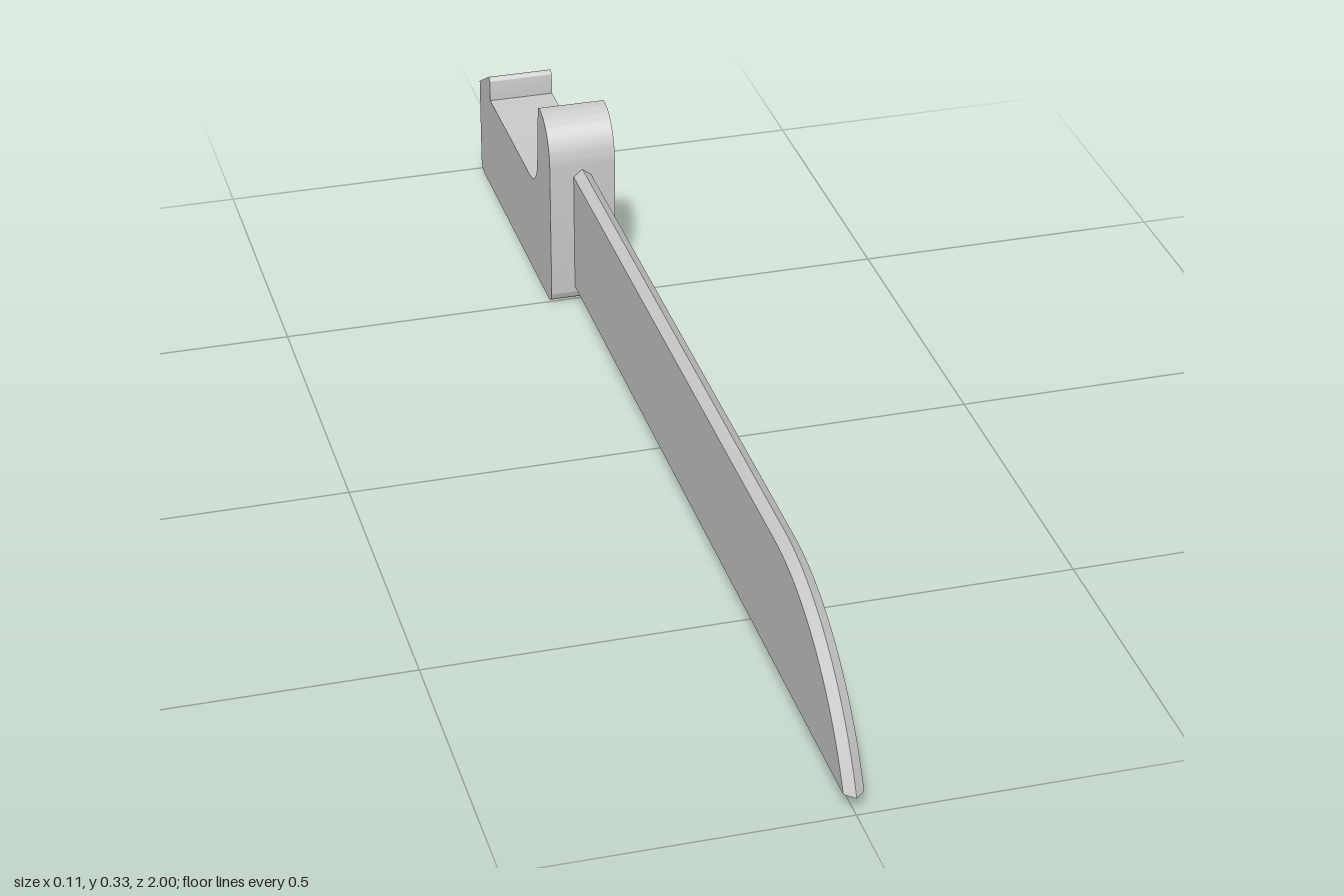
import * as THREE from 'three';
import { toCreasedNormals } from 'three/addons/utils/BufferGeometryUtils.js';

const material = new THREE.MeshStandardMaterial({ color: 0xcccccc });

function addPart(group, name, geometry) {
  const mesh = new THREE.Mesh(toCreasedNormals(geometry, 0.45), material);
  mesh.name = name;
  group.add(mesh);
}

// Handle: side profile (distance back, height) extruded across the width
function handleGeometry() {
  const front = 0.491, back = 1, r = 0.025, width = 0.11;
  const s = new THREE.Shape();
  s.moveTo(front + r, 0.003);
  s.lineTo(back - r, 0.003);
  s.quadraticCurveTo(back, 0.003, back, r);
  s.lineTo(back, 0.174);
  s.lineTo(0.93, 0.215); // rear catch
  s.quadraticCurveTo(0.92, 0.217, 0.92, 0.205);
  s.lineTo(0.92, 0.174);
  s.lineTo(0.635, 0.174);
  s.bezierCurveTo(0.6, 0.174, 0.58, 0.195, 0.578, 0.23); // guard fillet
  s.lineTo(0.568, 0.325);
  s.quadraticCurveTo(0.567, 0.333, 0.559, 0.333);
  s.bezierCurveTo(0.52, 0.333, front, 0.3, front, 0.255);
  s.lineTo(front, r);
  s.quadraticCurveTo(front, 0.003, front + r, 0.003);
  const geometry = new THREE.ExtrudeGeometry(s, { depth: width, bevelEnabled: false, curveSegments: 16 });
  return geometry.translate(0, 0, -width / 2).rotateY(Math.PI / 2);
}

// Blade: straight run, then an arc down to the tip, with a roof-shaped edge
function bladeGeometry() {
  const half = 0.015, base = 0.028, top = 0.245, edge = 0.012;
  const bend = 0.65, radius = 0.391, centre = top - radius, steps = 28;

  const section = (t, z) => {
    const at = (r) => {
      if (z !== undefined) return [centre + r, z];
      const a = t * Math.acos((base - centre) / r);
      return [centre + r * Math.cos(a), bend + r * Math.sin(a)];
    };
    const [ridgeY, ridgeZ] = at(radius);
    const [sideY, sideZ] = at(radius - edge);
    return [
      [half, base, sideZ], [half, sideY, sideZ], [0, ridgeY, ridgeZ],
      [-half, sideY, sideZ], [-half, base, sideZ], [0, base, ridgeZ],
    ];
  };

  const sections = [section(0, -0.52)];
  for (let i = 0; i <= steps; i++) sections.push(section(i / steps));

  const positions = [];
  for (let i = 0; i < sections.length - 1; i++) {
    for (let j = 0; j < 6; j++) {
      const k = (j + 1) % 6;
      const a = sections[i][j], b = sections[i][k];
      const c = sections[i + 1][k], d = sections[i + 1][j];
      positions.push(...a, ...b, ...c, ...a, ...c, ...d);
    }
  }
  const geometry = new THREE.BufferGeometry();
  geometry.setAttribute('position', new THREE.Float32BufferAttribute(positions, 3));
  return geometry;
}

export function createModel() {
  const group = new THREE.Group();
  group.name = 'knife';
  addPart(group, 'handle', handleGeometry());
  addPart(group, 'blade', bladeGeometry());
  // Rest the handle on the floor
  group.children.forEach((part) => { part.position.y = part.name === 'handle' ? -0.003 : 0; });
  return group;
}
